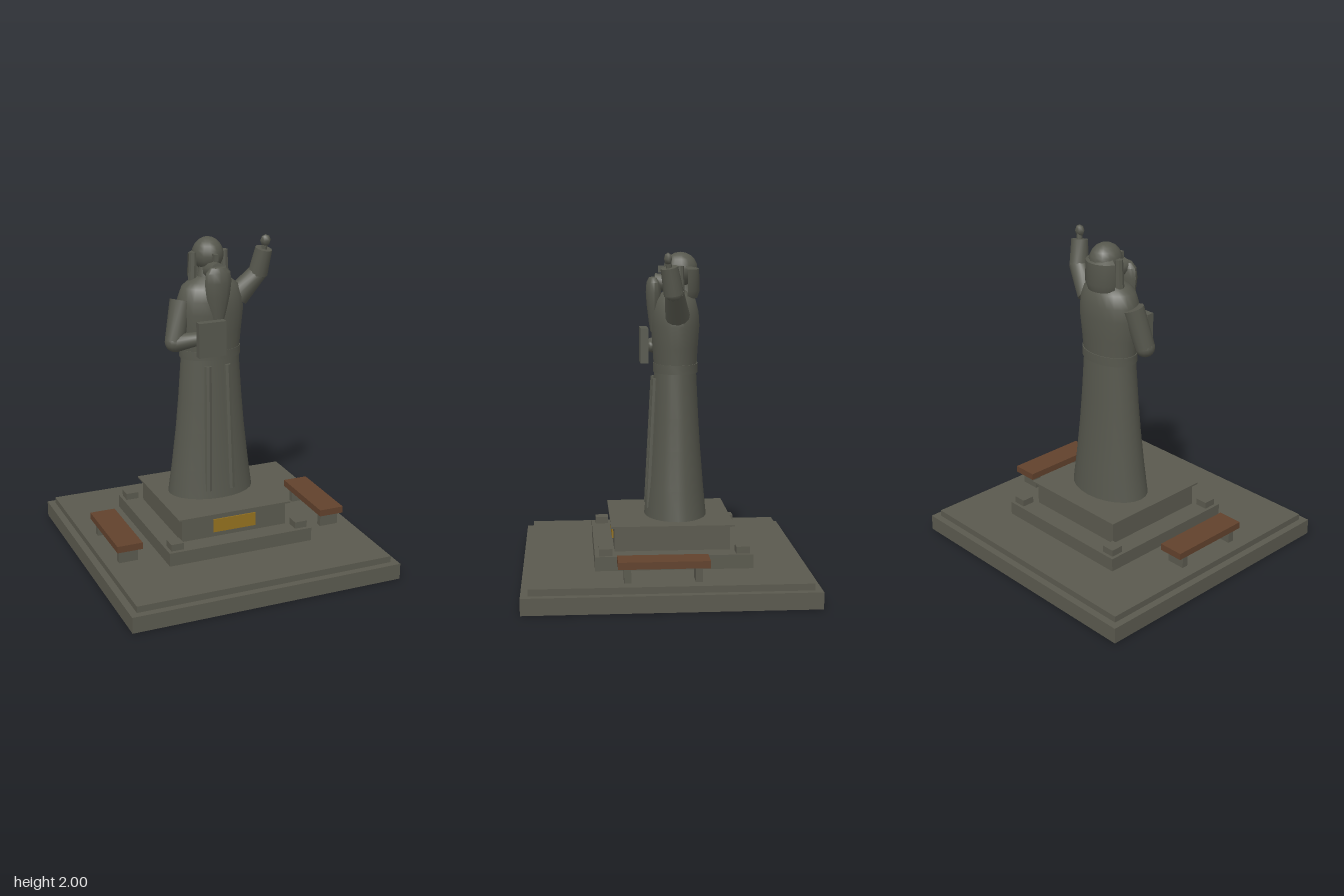
import * as THREE from 'three';
import { toCreasedNormals } from 'three/addons/utils/BufferGeometryUtils.js';

export function createModel() {
  const root = new THREE.Group();
  root.name = 'monument';

  const material = (name, color, side = THREE.FrontSide) => {
    const m = new THREE.MeshStandardMaterial({ color, side });
    m.name = name;
    return m;
  };
  const stone = material('stone', 0x5a594e);
  const bronze = material('bronze', 0x56574d, THREE.DoubleSide);
  const wood = material('wood', 0x61412c);
  const brass = material('brass', 0x93711f);

  const add = (name, geometry, mat, x = 0, y = 0, z = 0, parent = root) => {
    const mesh = new THREE.Mesh(geometry, mat);
    mesh.name = name;
    mesh.position.set(x, y, z);
    parent.add(mesh);
    return mesh;
  };
  // Box given by its limits on each axis
  const box = (name, mat, x0, x1, y0, y1, z0, z1, parent = root) =>
    add(name, new THREE.BoxGeometry(x1 - x0, y1 - y0, z1 - z0), mat,
      (x0 + x1) / 2, (y0 + y1) / 2, (z0 + z1) / 2, parent);

  // Stepped base and pedestal
  box('lowerPlatform', stone, -0.86, 0.86, 0, 0.1, -0.86, 0.86);
  box('upperPlatform', stone, -0.817, 0.817, 0.1, 0.14, -0.817, 0.817);
  box('plinthStep', stone, -0.47, 0.47, 0.14, 0.225, -0.51, 0.43);
  box('pedestal', stone, -0.345, 0.345, 0.225, 0.37, -0.385, 0.31);
  box('pedestalCap', stone, -0.37, 0.37, 0.37, 0.38, -0.41, 0.33);
  box('plaque', brass, -0.14, 0.14, 0.255, 0.34, 0.31, 0.317);

  // Corner blocks on the step
  for (const x of [-0.41, 0.41])
    for (const z of [-0.45, 0.365])
      box('cornerBlock', stone, x - 0.04, x + 0.04, 0.225, 0.267, z - 0.04, z + 0.04);

  // Benches on both sides
  for (const side of [-1, 1]) {
    const bench = new THREE.Group();
    bench.name = side > 0 ? 'leftBench' : 'rightBench';
    bench.position.x = side * 0.675;
    root.add(bench);
    box('benchSeat', wood, -0.08, 0.08, 0.225, 0.267, -0.225, 0.305, bench);
    for (const z of [-0.16, 0.25])
      box('benchLeg', stone, -0.06, 0.06, 0.14, 0.225, z - 0.02, z + 0.02, bench);
  }

  // Statue
  const statue = new THREE.Group();
  statue.name = 'statue';
  root.add(statue);

  // Elliptical turned body from [radius, height] points
  const turned = (name, points, z, depth, segments = 24, start = 0, length = Math.PI * 2) => {
    const g = new THREE.LatheGeometry(points.map(p => new THREE.Vector2(...p)), segments, start, length);
    g.scale(1, 1, depth);
    return add(name, toCreasedNormals(g, 0.7), bronze, 0, 0, z, statue);
  };
  // Tapered round limb between two points
  const limb = (name, from, to, r0, r1, sides = 12) => {
    const a = new THREE.Vector3(...from), b = new THREE.Vector3(...to);
    const dir = b.clone().sub(a);
    const g = toCreasedNormals(new THREE.CylinderGeometry(r1, r0, dir.length(), sides), 0.7);
    const mesh = add(name, g, bronze, 0, 0, 0, statue);
    mesh.position.copy(a).add(b).multiplyScalar(0.5);
    mesh.quaternion.setFromUnitVectors(new THREE.Vector3(0, 1, 0), dir.normalize());
    return mesh;
  };
  const ball = (name, r, x, y, z, sx = 1, sy = 1, sz = 1, w = 14, h = 10) => {
    const mesh = add(name, new THREE.SphereGeometry(r, w, h), bronze, x, y, z, statue);
    mesh.scale.set(sx, sy, sz);
    return mesh;
  };

  // Robe, belt and torso
  turned('robeSkirt', [[0, 0.38], [0.275, 0.38], [0.25, 0.56], [0.222, 0.8],
    [0.204, 1.0], [0.185, 1.27], [0, 1.27]], -0.08, 0.7);
  turned('belt', [[0, 1.265], [0.195, 1.265], [0.195, 1.32], [0, 1.32]], -0.082, 0.7);
  turned('torso', [[0.188, 1.3], [0.198, 1.42], [0.212, 1.55], [0.205, 1.63], [0.178, 1.705],
    [0.14, 1.735], [0.08, 1.765], [0.065, 1.82], [0, 1.82]], -0.08, 0.7);

  // Raised folds down the front of the robe
  for (const s of [-1, 1])
    limb('robeFold', [s * 0.077, 0.43, 0.083], [s * 0.062, 1.23, 0.044], 0.025, 0.023, 8);

  // Head, hair and beard
  ball('head', 0.1, 0, 1.89, -0.112, 0.95, 1.03, 1.05);
  turned('backHair', [[0.085, 1.915], [0.122, 1.89], [0.126, 1.76], [0.11, 1.715], [0, 1.70]],
    -0.11, 0.95, 10, Math.PI * 0.6, Math.PI * 0.8);
  for (const s of [-1, 1])
    limb('sideLock', [s * 0.105, 1.72, -0.1], [s * 0.1, 1.91, -0.1], 0.029, 0.024, 8);
  box('nose', bronze, -0.012, 0.012, 1.868, 1.91, -0.03, 0.025, statue);
  turned('beard', [[0, 1.845], [0.05, 1.84], [0.078, 1.81], [0.086, 1.75], [0.076, 1.67],
    [0.056, 1.58], [0.036, 1.51], [0, 1.50]].reverse(), 0.052, 0.55, 12).rotation.x = 0;
  limb('chin', [0, 1.8, -0.06], [0, 1.82, 0.05], 0.06, 0.045, 10);

  // Raised left arm
  limb('leftUpperArm', [0.178, 1.615, -0.08], [0.309, 1.765, -0.05], 0.074, 0.056);
  ball('leftElbow', 0.056, 0.306, 1.76, -0.05);
  limb('leftForearm', [0.303, 1.752, -0.048], [0.328, 1.912, -0.018], 0.06, 0.052);
  limb('leftWrist', [0.328, 1.9, -0.018], [0.334, 1.945, -0.012], 0.018, 0.018, 8);
  ball('leftHand', 0.037, 0.335, 1.962, -0.01, 0.95, 1, 0.7, 6, 4);

  // Bent right arm holding a book
  limb('rightUpperArm', [-0.19, 1.628, -0.075], [-0.25, 1.385, -0.03], 0.068, 0.06);
  ball('rightElbow', 0.06, -0.25, 1.385, -0.03);
  limb('rightForearm', [-0.245, 1.378, -0.025], [-0.125, 1.42, 0.06], 0.055, 0.042);
  ball('rightHand', 0.036, -0.1, 1.41, 0.065, 1, 1, 0.7, 8, 6);
  box('book', bronze, -0.155, 0.02, 1.315, 1.53, 0.085, 0.132, statue);

  return root;
}
